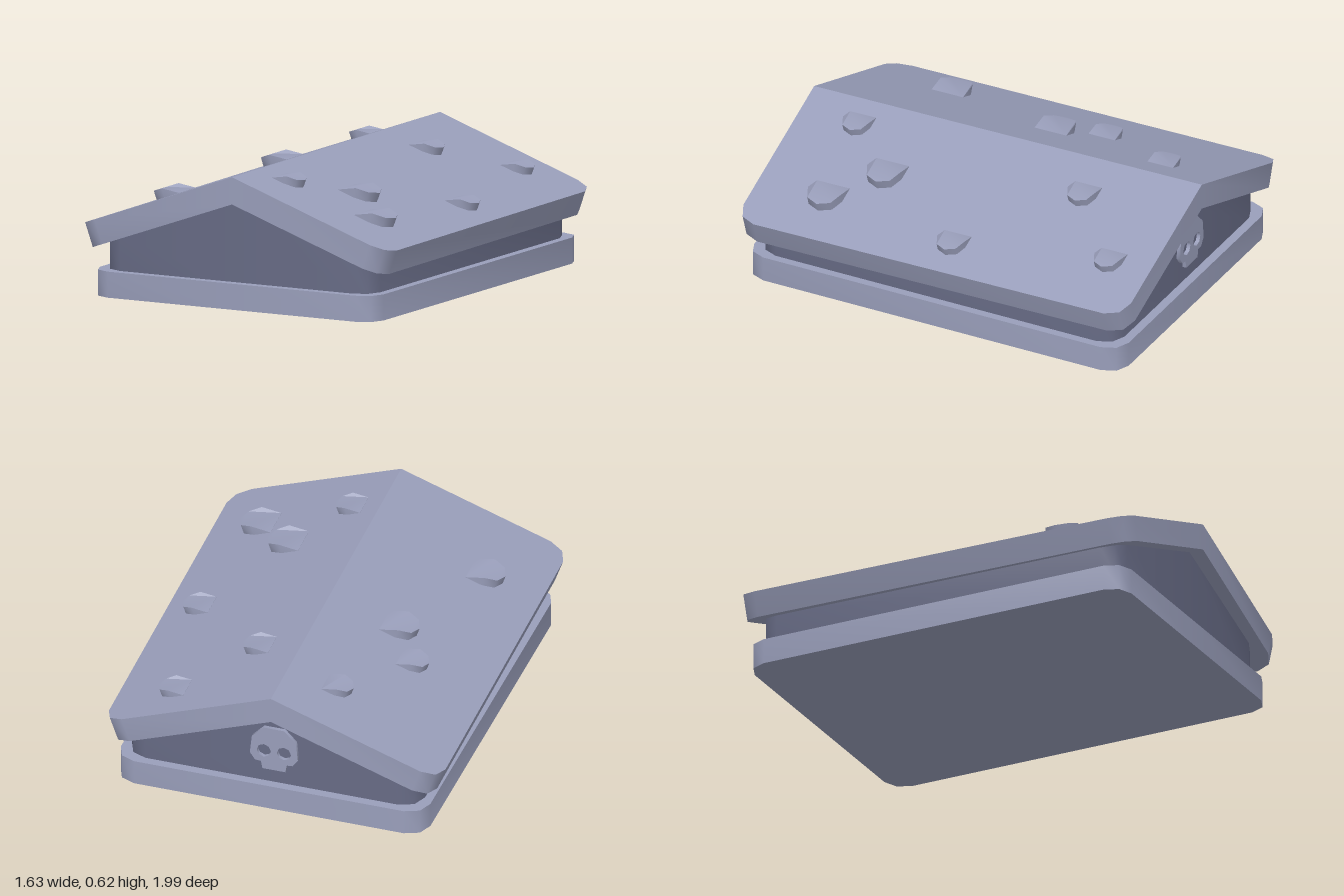
import * as THREE from 'three';
import { toCreasedNormals } from 'three/addons/utils/BufferGeometryUtils.js';

const stone = new THREE.MeshStandardMaterial({ color: 0x999eba });
stone.name = 'pale stone';
const darkStone = new THREE.MeshStandardMaterial({ color: 0x676b85 });
darkStone.name = 'dark stone';

const PITCH = Math.atan(0.356);
const RIDGE = 0.615;
const THICK = 0.118;
const YAW = 0.0175;
const Q = Math.PI / 2;

function part(name, geometry, material) {
  const mesh = new THREE.Mesh(toCreasedNormals(geometry, 0.85), material);
  mesh.name = name;
  return mesh;
}

// Extrudes a plan shape upwards, then moves each vertex by a rule
function extrudeUp(shape, height, segments, rule) {
  const geo = new THREE.ExtrudeGeometry(shape, { depth: height, bevelEnabled: false, curveSegments: segments });
  geo.rotateX(-Math.PI / 2);
  if (rule) {
    const p = geo.attributes.position;
    const v = new THREE.Vector3();
    for (let i = 0; i < p.count; i++) {
      rule(v.fromBufferAttribute(p, i));
      p.setXYZ(i, v.x, v.y, v.z);
    }
  }
  return geo;
}

// Rounded rectangle with extra points at x = 0 for the gable peak
function roundedPlan(w, d, r) {
  const s = new THREE.Shape();
  s.moveTo(0, -d);
  s.lineTo(w - r, -d);
  s.absarc(w - r, -d + r, r, -Q, 0);
  s.absarc(w - r, d - r, r, 0, Q);
  s.lineTo(0, d);
  s.absarc(-w + r, d - r, r, Q, 2 * Q);
  s.absarc(-w + r, -d + r, r, 2 * Q, 3 * Q);
  s.closePath();
  return s;
}

// One sloping half of the lid, mitred at the ridge
function lidHalf() {
  const L = 0.80 / Math.cos(PITCH), d = 0.985, r = 0.095;
  const s = new THREE.Shape();
  s.moveTo(0, -d);
  s.lineTo(L - r, -d);
  s.absarc(L - r, -d + r, r, -Q, 0);
  s.absarc(L - r, d - r, r, 0, Q);
  s.lineTo(0, d);
  s.closePath();
  return extrudeUp(s, THICK, 1, (v) => {
    v.y -= THICK;
    if (v.x < 1e-5) v.x = -v.y * Math.tan(PITCH);
  });
}

// Raised chip: half-round lower end, ramp fading into the slope
function chip(r) {
  const s = new THREE.Shape();
  s.moveTo(-r, -r);
  s.lineTo(0, -r);
  s.absarc(0, 0, r, -Q, Q);
  s.lineTo(-r, r);
  s.closePath();
  return extrudeUp(s, 0.55 * r + 0.01, 2, (v) => {
    v.y -= 0.01;
    if (v.x < -r + 1e-5 && v.y > 0) v.y = 0.001;
  });
}

export function createModel() {
  const model = new THREE.Group();
  model.name = 'gabledTomb';

  model.add(part('base', extrudeUp(roundedPlan(0.74, 0.96, 0.095), 0.12, 1), stone));

  // Body: its top follows the underside of the lid
  const bodyGeo = extrudeUp(roundedPlan(0.70, 0.917, 0.095), 0.2, 1, (v) => {
    v.y = v.y < 0.1 ? 0.1 : 0.5 - 0.356 * Math.abs(v.x);
  });
  model.add(part('body', bodyGeo, darkStone));

  // Lid, slightly askew; chips are [x, z, radius]
  const chips = [
    [0.52, -0.785, 0.066], [0.215, -0.49, 0.068], [0.65, -0.05, 0.068],
    [0.388, 0.43, 0.083], [0.586, 0.63, 0.083], [0.168, 0.69, 0.066],
    [-0.25, -0.685, 0.065], [-0.47, -0.27, 0.067], [-0.345, -0.08, 0.081], [-0.545, 0.555, 0.08],
  ];
  const lid = new THREE.Group();
  lid.name = 'lid';
  lid.rotation.y = YAW;
  for (const side of [1, -1]) {
    const half = new THREE.Group();
    half.name = side > 0 ? 'lidLeft' : 'lidRight';
    half.position.y = RIDGE;
    half.rotation.set(0, side > 0 ? 0 : Math.PI, -PITCH);
    half.add(part('lidSlab', lidHalf(), stone));
    for (const [x, z, r] of chips.filter((c) => c[0] * side > 0)) {
      const lx = x - YAW * z, lz = z + YAW * x;
      const mesh = part('chip', chip(r), stone);
      mesh.position.set((Math.abs(lx) - 0.01) / Math.cos(PITCH), 0, lz * side);
      half.add(mesh);
    }
    lid.add(half);
  }
  model.add(lid);

  // Small skull on the back gable: domed head, cheeks, narrow jaw, two eye holes
  const half = [[0.05, 0.112], [0.105, 0.055], [0.115, -0.035], [0.09, -0.07], [0.062, -0.072], [0.055, -0.11]];
  const outline = [...half.map(([x, y]) => [-x, y]), ...half.slice().reverse()];
  const face = new THREE.Shape(outline.map(([x, y]) => new THREE.Vector2(x, y)));
  for (const x of [-0.048, 0.048]) {
    face.holes.push(new THREE.Path().absarc(x, -0.012, 0.034, 0, Math.PI * 2, true));
  }
  const skullGeo = new THREE.ExtrudeGeometry(face, { depth: 0.03, bevelEnabled: false, curveSegments: 4 });
  const skull = part('skull', skullGeo, stone);
  skull.position.set(-0.015, 0.305, -0.935);
  model.add(skull);

  return model;
}
